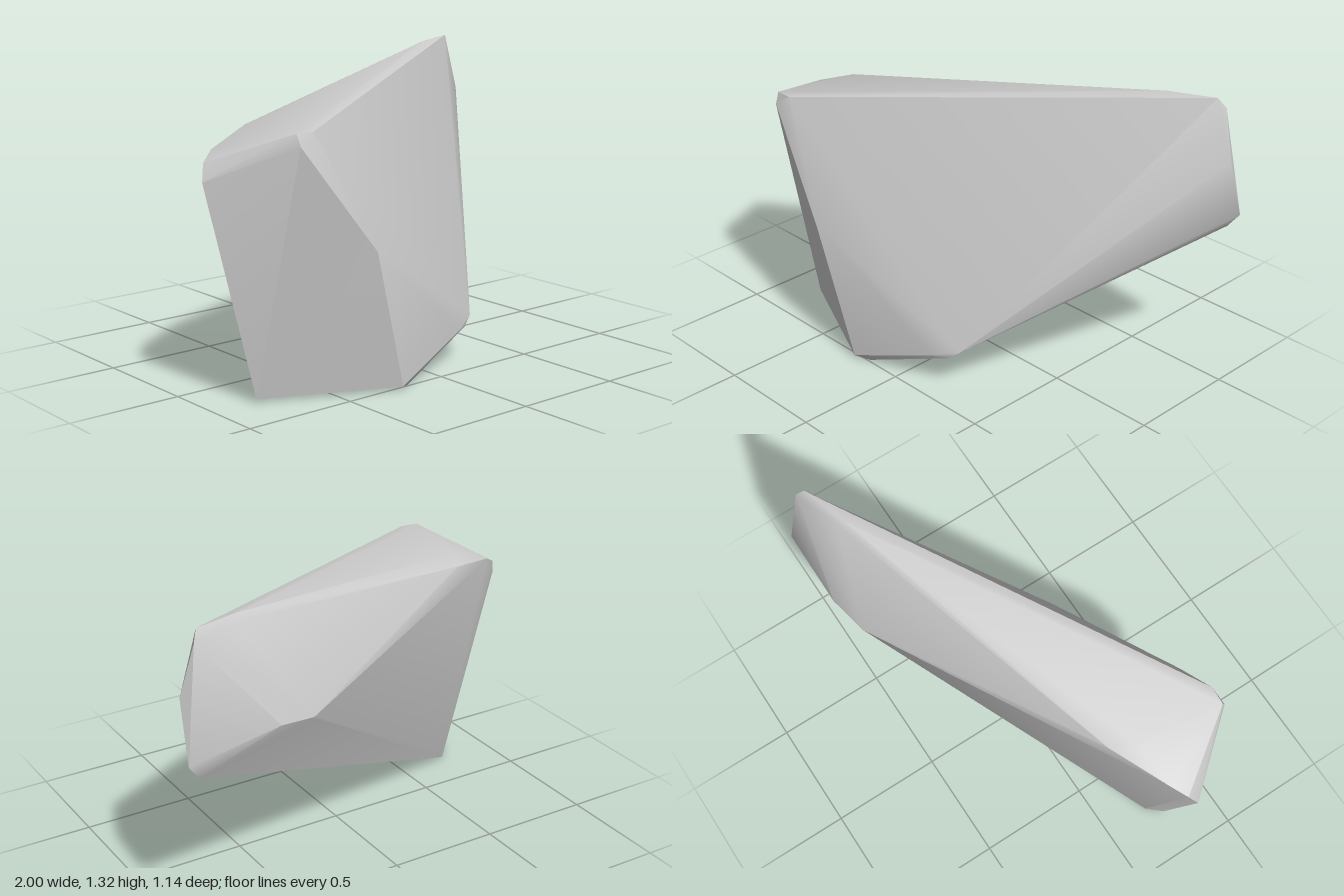
import * as THREE from 'three';
import { ConvexGeometry } from 'three/addons/geometries/ConvexGeometry.js';
import { toCreasedNormals } from 'three/addons/utils/BufferGeometryUtils.js';

export function createModel() {
  const group = new THREE.Group();
  group.name = 'rock';
  const stone = new THREE.MeshStandardMaterial({ color: 0xcccccc });
  stone.name = 'pale stone grey';

  // Corners of the chipped boulder, grouped by region
  const corners = [
    // foot
    [-0.8, 0.015, 0.27], [-0.74, 0, 0.21], [-0.18, 0, 0.49], [-0.24, 0.015, 0.53],
    // lower front chin
    [0.17, 0.155, 0.43], [0.23, 0.155, 0.4], [0.28, 0.195, 0.38],
    // front ridge
    [-0.415, 0.62, 0.572], [-0.745, 1.07, 0.505], [-0.75, 1.12, 0.485], [-0.67, 1.122, 0.49],
    // blunt left end
    [-1, 0.92, 0.21], [-0.97, 0.99, 0.175], [-0.9, 1.03, 0.13],
    // back ridge
    [-0.64, 1.087, 0], [0.43, 0.845, -0.53], [0.6, 0.87, -0.568],
    // worn edge between top and back
    [-0.7, 1.108, 0.1], [0.72, 1.285, -0.43],
    // raised far end
    [1, 0.79, -0.555], [0.95, 0.725, -0.54], [0.99, 1.05, -0.48],
    [0.93, 1.27, -0.5], [0.905, 1.315, -0.47], [0.7, 1.305, -0.4],
  ].map((p) => new THREE.Vector3(...p));

  // Soft shading on shallow chips, sharp on the main breaks
  const boulder = new THREE.Mesh(toCreasedNormals(new ConvexGeometry(corners), 0.53), stone);
  boulder.name = 'boulder';
  group.add(boulder);
  return group;
}
